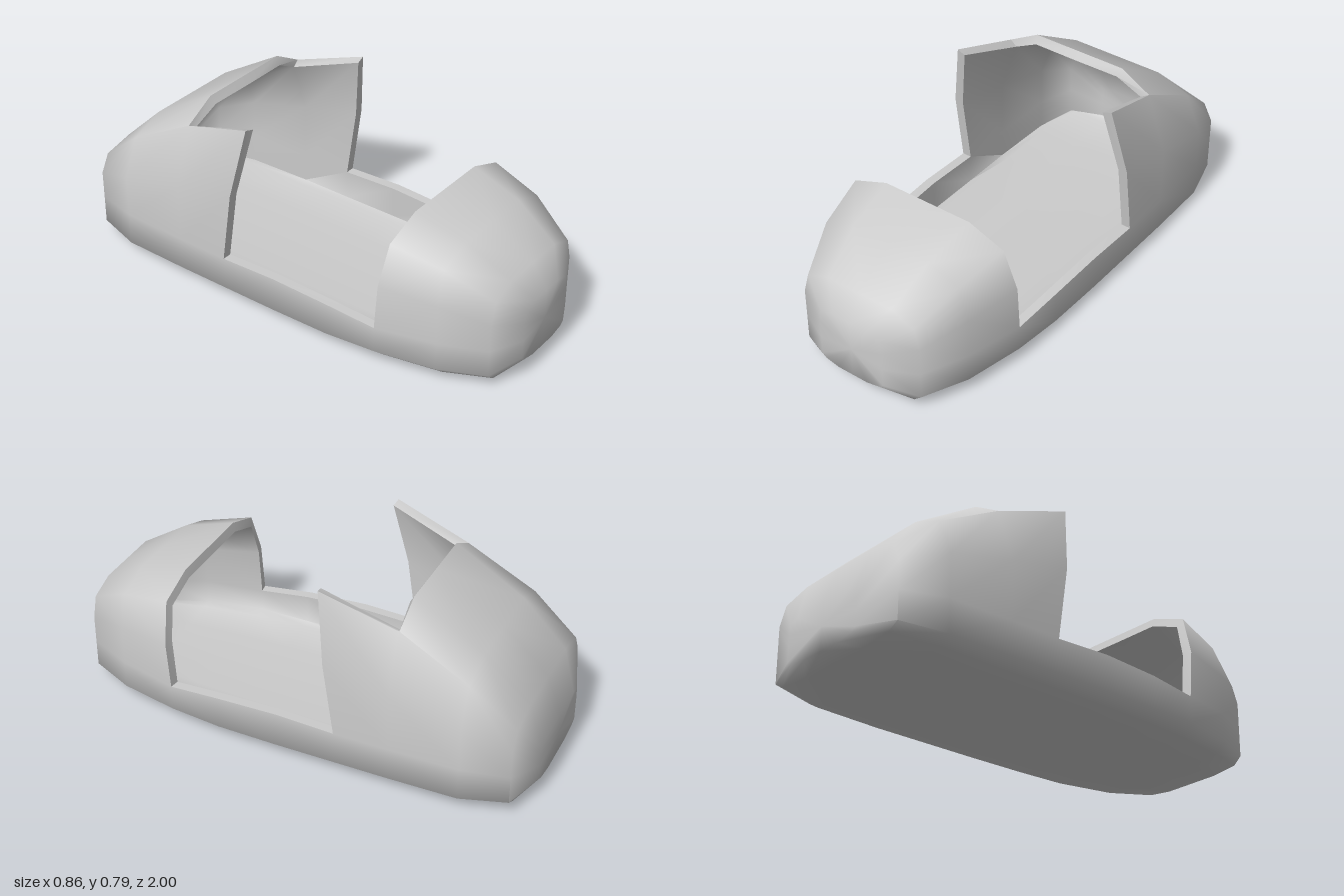
import * as THREE from 'three';
import { toCreasedNormals } from 'three/addons/utils/BufferGeometryUtils.js';

const THICKNESS = 0.04;
const OPEN_SILL = 4, OPEN_ROOF = 6, CLOSED = 8; // how far up the half profile the skin reaches

// Half cross-section from the middle of the floor, round the side, to the middle of the roof.
// [zAtSide, zAtTop, halfWidth, bottom, cornerY, sillY, [beltY], [shoulderX, shoulderY], [roofX, roofY]]
function section({ z, zTop = z, zBelt = z, w, bottom, corner, sill, belt, shoulder, roof }) {
  return [
    [0, bottom, z], [w * 0.47, bottom, z], [w * 0.87, bottom + 0.013, z], [w, corner, z],
    [w, sill, z], [w, belt, zBelt],
    [...shoulder, zTop], [...roof, zTop], [0, roof[1], zTop],
  ];
}
const tip = (y, z) => Array.from({ length: 9 }, () => [0, y, z]);

// Stations from nose to tail; skin = reach of the skin between this station and the next
const stations = [
  { ring: tip(0.2, 1), skin: CLOSED },
  { ring: section({ z: 1, w: 0.15, bottom: 0.07, corner: 0.1, sill: 0.18, belt: 0.26, shoulder: [0.14, 0.315], roof: [0.08, 0.33] }), skin: CLOSED },
  { ring: section({ z: 0.935, w: 0.28, bottom: 0.02, corner: 0.065, sill: 0.18, belt: 0.3, shoulder: [0.255, 0.39], roof: [0.15, 0.43] }), skin: CLOSED },
  { ring: section({ z: 0.75, w: 0.36, bottom: 0.005, corner: 0.06, sill: 0.18, belt: 0.35, shoulder: [0.32, 0.49], roof: [0.18, 0.54] }), skin: CLOSED },
  { ring: section({ z: 0.5, zBelt: 0.515, zTop: 0.53, w: 0.412, bottom: 0, corner: 0.06, sill: 0.17, belt: 0.37, shoulder: [0.36, 0.54], roof: [0.2, 0.6] }), skin: OPEN_SILL },
  { ring: section({ z: 0.28, w: 0.425, bottom: 0, corner: 0.05, sill: 0.19, belt: 0.4, shoulder: [0.36, 0.6], roof: [0.2, 0.6] }), skin: OPEN_SILL },
  { ring: section({ z: 0.02, w: 0.43, bottom: 0, corner: 0.05, sill: 0.2, belt: 0.4, shoulder: [0.36, 0.6], roof: [0.2, 0.6] }), skin: OPEN_SILL },
  { ring: section({ z: -0.23, zBelt: -0.185, zTop: -0.14, w: 0.43, bottom: 0, corner: 0.05, sill: 0.19, belt: 0.5, shoulder: [0.375, 0.79], roof: [0.21, 0.79] }), skin: OPEN_ROOF },
  { ring: section({ z: -0.46, w: 0.43, bottom: 0, corner: 0.05, sill: 0.19, belt: 0.44, shoulder: [0.345, 0.685], roof: [0.21, 0.76] }), skin: CLOSED },
  { ring: section({ z: -0.75, w: 0.425, bottom: 0.005, corner: 0.05, sill: 0.19, belt: 0.37, shoulder: [0.355, 0.53], roof: [0.21, 0.585] }), skin: CLOSED },
  { ring: section({ z: -0.94, w: 0.375, bottom: 0.02, corner: 0.06, sill: 0.18, belt: 0.3, shoulder: [0.335, 0.375], roof: [0.2, 0.405] }), skin: CLOSED },
  { ring: section({ z: -1, w: 0.21, bottom: 0.05, corner: 0.075, sill: 0.14, belt: 0.19, shoulder: [0.205, 0.23], roof: [0.16, 0.24] }), skin: CLOSED },
  { ring: tip(0.15, -1), skin: CLOSED },
];

// Mirrored outer skin, with coincident points shared
function outerSkin() {
  const points = [], faces = [], lookup = new Map();
  const vertex = (i, j) => {
    const [x, y, z] = stations[i].ring[Math.abs(j)];
    const p = [j < 0 ? -x : x, y, z];
    const key = p.map((v) => Math.round(v * 1e4)).join();
    if (!lookup.has(key)) lookup.set(key, points.push(p) - 1);
    return lookup.get(key);
  };
  const addFace = (a, b, c) => {
    if (a !== b && b !== c && c !== a) faces.push([a, b, c]);
  };
  for (let i = 0; i < stations.length - 1; i++) {
    const reach = stations[i].skin;
    for (let j = -reach; j < reach; j++) {
      const a = vertex(i, j), b = vertex(i + 1, j), c = vertex(i + 1, j + 1), d = vertex(i, j + 1);
      if (j < 0) {
        addFace(a, b, c);
        addFace(a, c, d);
      } else {
        addFace(a, b, d);
        addFace(b, c, d);
      }
    }
  }
  return { points, faces };
}

// Gives the skin an inner lining and closes the rim of the opening
function thicken({ points, faces }, t) {
  const skin = new THREE.BufferGeometry();
  skin.setAttribute('position', new THREE.Float32BufferAttribute(points.flat(), 3));
  skin.setIndex(faces.flat());
  skin.computeVertexNormals();
  const normal = skin.attributes.normal, n = points.length;
  const inner = points.map((p, k) => [
    p[0] - normal.getX(k) * t, p[1] - normal.getY(k) * t, p[2] - normal.getZ(k) * t,
  ]);
  const all = [...faces, ...faces.map(([a, b, c]) => [a + n, c + n, b + n])];
  const edges = new Set();
  const eachEdge = (f) => faces.forEach(([a, b, c]) => [[a, b], [b, c], [c, a]].forEach(f));
  eachEdge(([a, b]) => edges.add(`${a},${b}`));
  eachEdge(([a, b]) => {
    if (!edges.has(`${b},${a}`)) all.push([b, a, a + n], [b, a + n, b + n]);
  });
  const shell = new THREE.BufferGeometry();
  shell.setAttribute('position', new THREE.Float32BufferAttribute([...points, ...inner].flat(), 3));
  shell.setIndex(all.flat());
  return toCreasedNormals(shell, 1.2);
}

export function createModel() {
  const group = new THREE.Group();
  group.name = 'openCarBody';
  const body = new THREE.Mesh(
    thicken(outerSkin(), THICKNESS),
    new THREE.MeshStandardMaterial({ color: 0xcccccc }),
  );
  body.name = 'bodyShell';
  group.add(body);
  return group;
}
